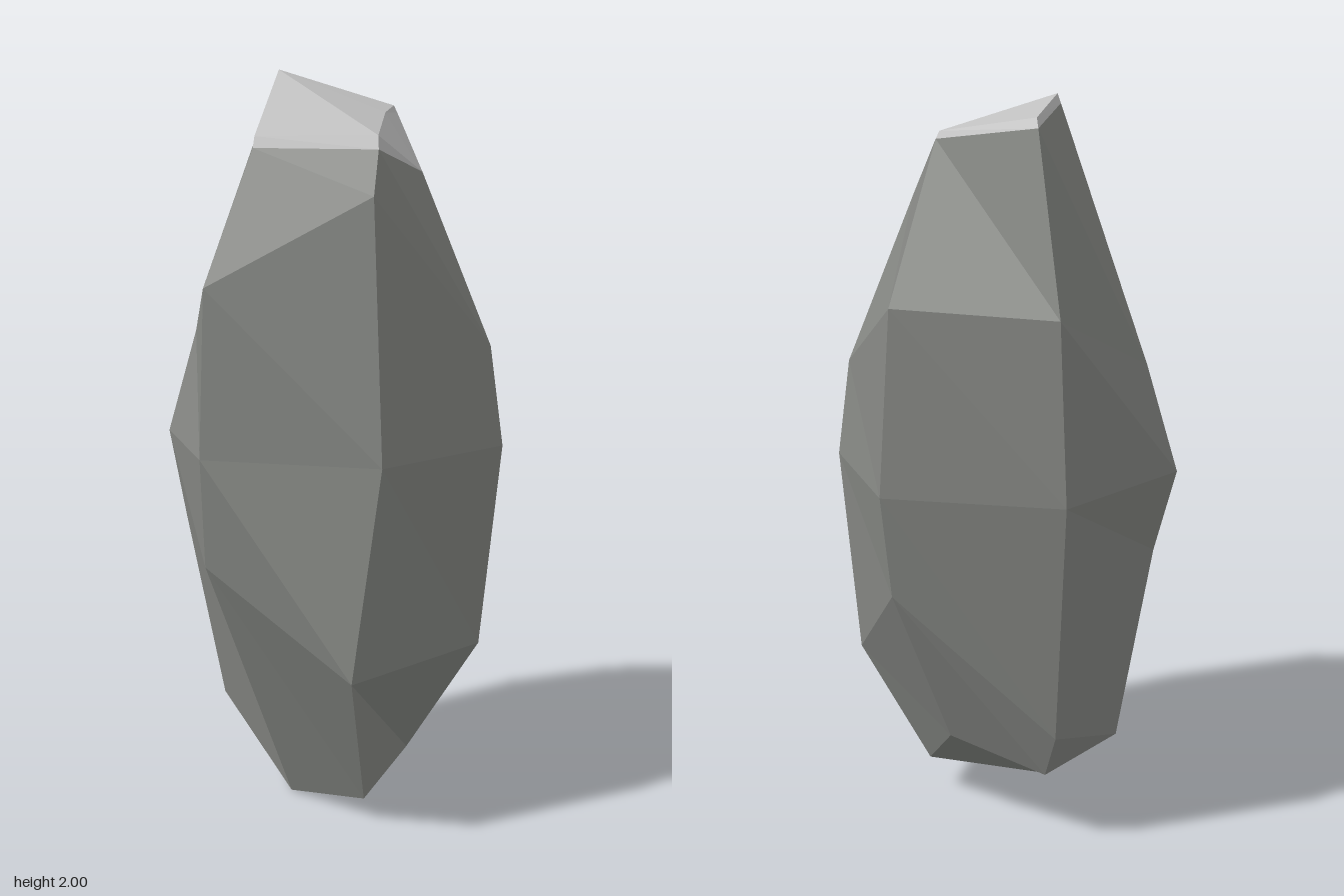
import * as THREE from 'three';

// Six columns of corners, clockwise seen from above, one ring per level
const bottomRing = [[-.145, 0, -.01], [-.15, .22, -.3], [.15, .2, -.3], [.25, .265, -.035], [.15, .1, .155], [-.135, .06, .275]];
const lowRing = [[-.435, .7, -.02], [-.25, .76, -.34], [.17, .33, -.355], [.44, .72, -.015], [.25, .43, .335], [-.3, .45, .4]];
const midRing = [[-.48, 1, .02], [-.255, 1, -.41], [.22, 1, -.43], [.48, 1, -.02], [.256, 1, .405], [-.22, 1, .425]];
const highRing = [[-.465, 1.44, .025], [-.215, 1.29, -.33], [.21, 1.47, -.395], [.455, 1.49, -.04], [.235, 1.27, .375], [-.185, 1.67, .355]];
const shoulderRing = [[-.31, 1.79, .04], [-.1, 1.975, -.112], [.15, 1.925, -.262], [.208, 1.89, .042], [.11, 1.73, .235], [-.14, 1.785, .325]];
const topRing = [[-.3, 1.82, .035], [-.1, 2, -.1], [.135, 1.95, -.243], [.198, 1.91, .038], [.06, 1.885, .145], [-.13, 1.82, .313]];

// Joins consecutive rings (lowest first) with triangles
function bands(rings) {
  const out = [];
  for (let r = 0; r < rings.length - 1; r++) {
    const lower = rings[r], upper = rings[r + 1];
    for (let k = 0; k < 6; k++) {
      const n = (k + 1) % 6;
      out.push(lower[k], upper[k], upper[n], lower[k], upper[n], lower[n]);
    }
  }
  return out;
}

// Closes a ring with a fan from one of its corners
function fan(ring, start, facingUp) {
  const out = [];
  for (let i = 1; i < 5; i++) {
    const a = ring[(start + i) % 6], b = ring[(start + i + 1) % 6];
    out.push(ring[start], ...(facingUp ? [b, a] : [a, b]));
  }
  return out;
}

function facetedMesh(name, corners, material) {
  const geometry = new THREE.BufferGeometry();
  geometry.setAttribute('position', new THREE.Float32BufferAttribute(corners.flat(), 3));
  geometry.computeVertexNormals();
  const mesh = new THREE.Mesh(geometry, material);
  mesh.name = name;
  return mesh;
}

export function createModel() {
  const stone = new THREE.MeshStandardMaterial({ color: 0x868884 });
  stone.name = 'stone grey';
  const pale = new THREE.MeshStandardMaterial({ color: 0xc0c0c0 });
  pale.name = 'pale grey';

  const group = new THREE.Group();
  group.name = 'rock';

  // Tall faceted body with its pointed underside
  group.add(facetedMesh('rockBody', [
    ...fan(bottomRing, 0, false),
    ...bands([bottomRing, lowRing, midRing, highRing, shoulderRing]),
  ], stone));

  // Pale cap with a bevelled rim
  group.add(facetedMesh('rockCap', [
    ...bands([shoulderRing, topRing]),
    ...fan(topRing, 1, true),
  ], pale));

  return group;
}
